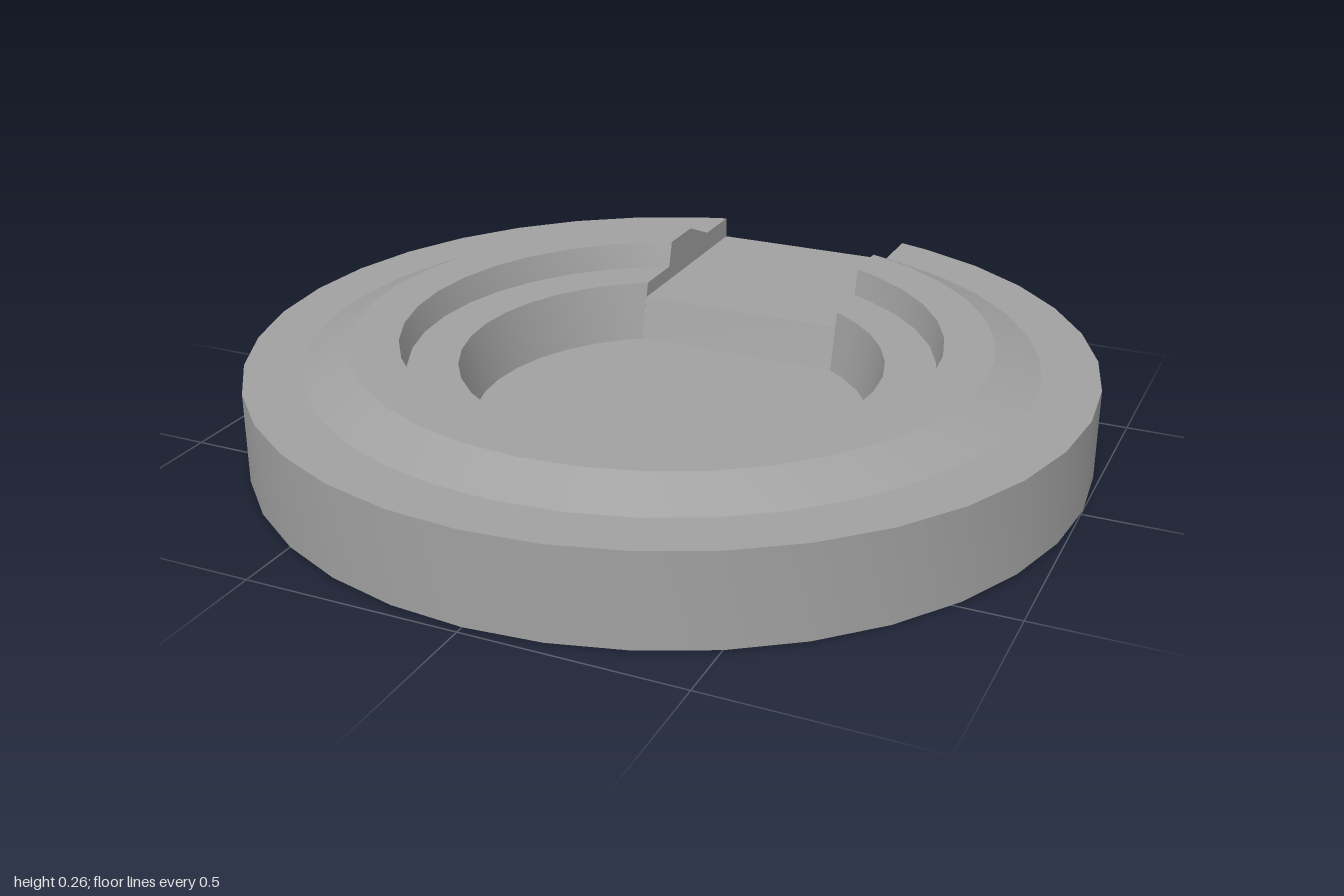
import * as THREE from 'three';
import { toCreasedNormals } from 'three/addons/utils/BufferGeometryUtils.js';

const SEG = 36;          // sides of the round body
const ZC = -0.02;        // centre of the round body
const HALF = 0.263;      // half width of the slot
const SLOT_Y = 0.163;    // height of the slot floor
const FLOOR_Y = 0.055;   // height of the recess floor

// Ring profile (radius, height): outer wall, rim, bevel, crown, ledge, recess wall
const PROFILE = [
  [1, 0], [1, 0.217], [0.865, 0.217], [0.757, 0.265], [0.64, 0.265],
  [0.625, 0.2], [0.505, 0.2], [0.475, FLOOR_Y],
];

// Point on the ring; the angle starts at the back and stops at the slot sides
function ringPoint(r, i) {
  const gap = Math.asin(HALF / r);
  const t = THREE.MathUtils.clamp((i / SEG) * Math.PI * 2, gap, Math.PI * 2 - gap);
  return [r * Math.sin(t), ZC - r * Math.cos(t)];
}

const chordZ = (r) => ZC - Math.sqrt(r * r - HALF * HALF);

// Ring surface swept round from one side of the slot to the other
function ringGeometry() {
  const pos = [];
  const at = (p, i) => {
    const [x, z] = ringPoint(p[0], i);
    return new THREE.Vector3(x, p[1], z);
  };
  const tri = (a, b, c) => {
    const area = b.clone().sub(a).cross(c.clone().sub(a)).length();
    if (area > 1e-8) for (const v of [a, b, c]) pos.push(v.x, v.y, v.z);
  };
  for (let i = 1; i < SEG - 1; i++) {
    for (let k = 0; k < PROFILE.length - 1; k++) {
      const p = PROFILE[k], q = PROFILE[k + 1];
      const a = at(p, i), b = at(q, i), c = at(q, i + 1), d = at(p, i + 1);
      tri(a, b, c);
      tri(a, c, d);
    }
  }
  const g = new THREE.BufferGeometry();
  g.setAttribute('position', new THREE.Float32BufferAttribute(pos, 3));
  return toCreasedNormals(g, 0.3);
}

const shapeOf = (pts) => new THREE.Shape(pts.map(([x, y]) => new THREE.Vector2(x, y)));

// Flat disc, cut straight at the back, facing up (1) or down (-1)
function discGeometry(r, y, up) {
  const pts = [];
  for (let i = 1; i < SEG; i++) {
    const [x, z] = ringPoint(r, i);
    const last = pts[pts.length - 1];
    if (!last || Math.hypot(last[0] - x, last[1] + up * z) > 1e-6) pts.push([x, -up * z]);
  }
  return new THREE.ShapeGeometry(shapeOf(pts)).rotateX(-up * Math.PI / 2).translate(0, y, 0);
}

export function createModel() {
  const group = new THREE.Group();
  const grey = new THREE.MeshStandardMaterial({ color: 0xa0a0a0 });
  grey.name = 'grey';
  const add = (name, geometry) => {
    const mesh = new THREE.Mesh(geometry, grey);
    mesh.name = name;
    group.add(mesh);
  };

  add('ring', ringGeometry());
  add('recessFloor', discGeometry(0.475, FLOOR_Y, 1));
  add('underside', discGeometry(1, 0, -1));

  // Side walls of the slot, following the ring profile above the slot floor
  const t = (SLOT_Y - FLOOR_Y) / (0.2 - FLOOR_Y);
  const innerR = 0.475 + 0.03 * t;
  const section = [[1, SLOT_Y], ...PROFILE.slice(1, -1), [innerR, SLOT_Y]];
  for (const side of [1, -1]) {
    const wall = shapeOf(section.map(([r, y]) => [side * chordZ(r), y]));
    add(side > 0 ? 'leftSlotWall' : 'rightSlotWall',
      new THREE.ShapeGeometry(wall).rotateY(-side * Math.PI / 2).translate(side * HALF, 0, 0));
  }

  // Straight block that forms the slot floor and its inner and outer faces
  const block = shapeOf([
    [chordZ(1), 0], [chordZ(1), SLOT_Y], [chordZ(innerR), SLOT_Y],
    [chordZ(0.475), FLOOR_Y], [chordZ(0.475), 0.01],
  ]);
  add('slotBlock', new THREE.ExtrudeGeometry(block, { depth: HALF * 2, bevelEnabled: false })
    .rotateY(-Math.PI / 2).translate(HALF, 0, 0));

  return group;
}
